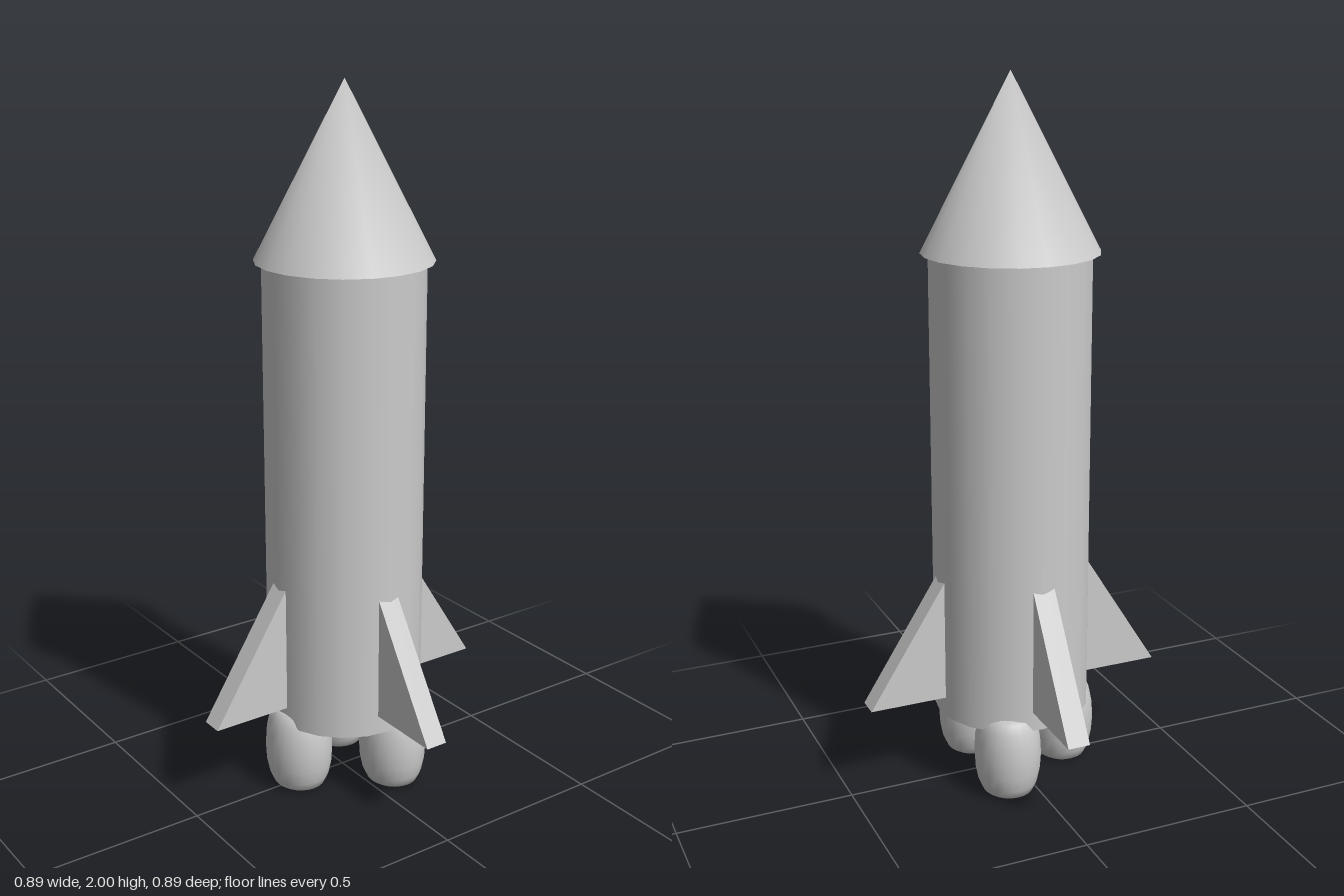
import * as THREE from 'three';

const material = new THREE.MeshStandardMaterial({ color: 0xcccccc });

function part(name, geometry, parent) {
  const mesh = new THREE.Mesh(geometry, material);
  mesh.name = name;
  parent.add(mesh);
  return mesh;
}

export function createModel() {
  const rocket = new THREE.Group();
  rocket.name = 'rocket';

  // Hull
  const hull = part('hull', new THREE.CylinderGeometry(0.223, 0.223, 1.315, 20), rocket);
  hull.position.set(0.003, 0.8675, -0.004);

  // Nose cone, shaded smoothly over its tip
  const coneGeometry = new THREE.ConeGeometry(0.245, 0.475, 20);
  const { position, normal } = coneGeometry.attributes;
  for (let i = 0; i < position.count; i++) {
    if (position.getY(i) > 0.23) normal.setXYZ(i, 0, 1, 0);
  }
  const nose = part('noseCone', coneGeometry, rocket);
  nose.position.set(0.004, 1.7625, -0.004);

  // Four triangular fins, rooted inside the hull
  const profile = new THREE.Shape();
  profile.moveTo(0.16, 0.265);
  profile.lineTo(0.444, 0.265);
  profile.lineTo(0.16, 0.713);
  const finGeometry = new THREE.ExtrudeGeometry(profile, { depth: 0.064, bevelEnabled: false });
  finGeometry.translate(0, 0, -0.032);
  const fins = new THREE.Group();
  fins.name = 'fins';
  rocket.add(fins);
  for (let i = 0; i < 4; i++) {
    part('fin', finGeometry, fins).rotation.y = (i * Math.PI) / 2;
  }

  // Three barrel-shaped engines: tall rings with a narrow bore
  const engineGeometry = new THREE.TorusGeometry(0.064, 0.04, 16, 24);
  engineGeometry.rotateX(Math.PI / 2);
  engineGeometry.scale(1, 0.1225 / 0.04, 0.9);
  const engines = new THREE.Group();
  engines.name = 'engines';
  rocket.add(engines);
  for (const [x, z] of [[0.004, 0.157], [0.143, -0.076], [-0.138, -0.076]]) {
    part('engine', engineGeometry, engines).position.set(x, 0.1225, z);
  }

  return rocket;
}
